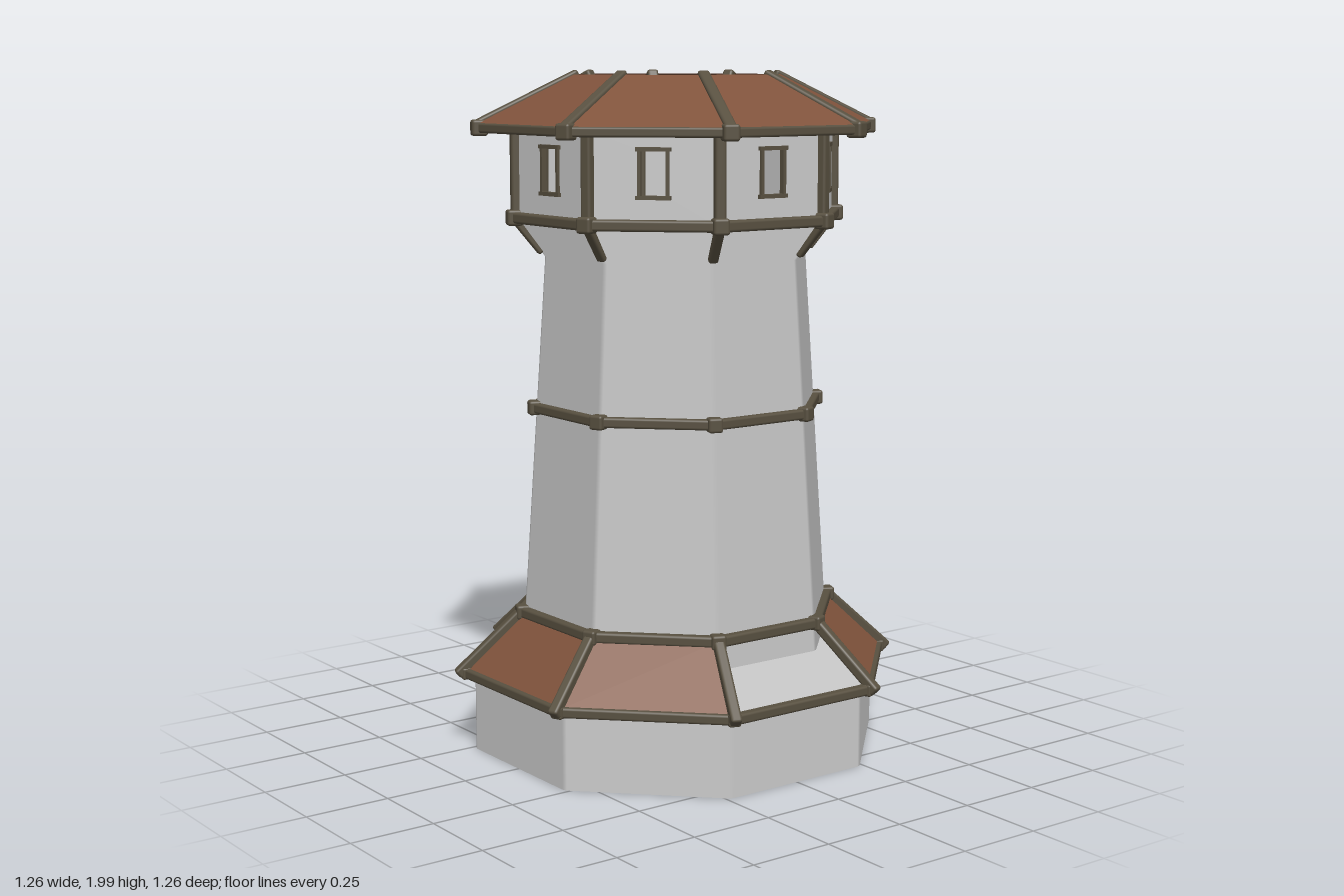
import * as THREE from 'three';
import { RoundedBoxGeometry } from 'three/addons/geometries/RoundedBoxGeometry.js';

const STEP = Math.PI / 4;
const HALF = Math.PI / 8;

export function createModel() {
  const plaster = new THREE.MeshStandardMaterial({ color: 0xcccccc, side: THREE.DoubleSide });
  plaster.name = 'plaster';
  const tile = new THREE.MeshStandardMaterial({ color: 0x80533c, flatShading: true, side: THREE.DoubleSide });
  tile.name = 'roof tile';
  const wood = new THREE.MeshStandardMaterial({ color: 0x585040 });
  wood.name = 'dark wood';

  const tower = new THREE.Group();
  tower.name = 'octagonalTower';

  const add = (name, geometry, material, parent = tower) => {
    const mesh = new THREE.Mesh(geometry, material);
    mesh.name = name;
    parent.add(mesh);
    return mesh;
  };

  // Corner k of an octagon with the given apothem (flat sides face x and z)
  const corner = (apothem, y, k) => {
    const r = apothem / Math.cos(HALF);
    const t = HALF + k * STEP;
    return new THREE.Vector3(r * Math.sin(t), y, r * Math.cos(t));
  };

  // Octagonal plaster shell through [apothem, y] rows, with softly eased corners
  const shell = (name, rows) => {
    const positions = [], normals = [], index = [];
    rows.forEach(([a, y], row) => {
      for (let k = 0; k < 8; k++) {
        const s = Math.sin(k * STEP), c = Math.cos(k * STEP);
        for (const side of [-1, 1]) {
          const w = side * (a * Math.tan(HALF) - 0.008);
          positions.push(a * s + w * c, y, a * c - w * s);
          normals.push(s, 0, c);
        }
      }
      if (row === 0) return;
      for (let j = 0; j < 16; j++) {
        const next = (j + 1) % 16, low = (row - 1) * 16, high = row * 16;
        index.push(low + j, low + next, high + next, low + j, high + next, high + j);
      }
    });
    const g = new THREE.BufferGeometry();
    g.setAttribute('position', new THREE.Float32BufferAttribute(positions, 3));
    g.setAttribute('normal', new THREE.Float32BufferAttribute(normals, 3));
    g.setIndex(index);
    return add(name, g, plaster);
  };

  // Tiled roof band between two apothems; "sides" below 8 leaves the front open
  const roof = (name, a0, y0, a1, y1, sides = 8) => {
    const c = Math.cos(HALF);
    const g = new THREE.CylinderGeometry(a1 / c, a0 / c, y1 - y0, sides, 1, true, HALF, sides * STEP);
    g.translate(0, (y0 + y1) / 2, 0);
    return add(name, g, tile);
  };

  // Timber with eased edges from p to q
  const beam = (name, p, q, width, parent, depth = width) => {
    const mesh = add(name, new RoundedBoxGeometry(width, depth, p.distanceTo(q), 2, width * 0.25), wood, parent);
    mesh.position.copy(p).lerp(q, 0.5);
    mesh.lookAt(q);
    return mesh;
  };

  // Horizontal ring of timbers with a block at every corner
  const ring = (name, apothem, y, width, block) => {
    const group = new THREE.Group();
    group.name = name;
    for (let k = 0; k < 8; k++) {
      beam('ringBeam', corner(apothem, y, k), corner(apothem, y, k + 1), width, group);
      const joint = add('cornerBlock', new RoundedBoxGeometry(block, block, block, 2, block * 0.18), wood, group);
      joint.position.copy(corner(apothem, y, k));
      joint.rotation.y = HALF + k * STEP;
    }
    tower.add(group);
  };

  // Timbers that run along all eight corners
  const ribs = (name, a0, y0, a1, y1, width, depth) => {
    const group = new THREE.Group();
    group.name = name;
    for (let k = 0; k < 8; k++) beam('rib', corner(a0, y0, k), corner(a1, y1, k), width, group, depth);
    tower.add(group);
  };

  // Base, open underneath, with a flat top
  shell('base', [[0.57, 0], [0.57, 0.23]]);
  const top = new THREE.CircleGeometry(0.57 / Math.cos(HALF), 8, HALF);
  top.rotateX(-Math.PI / 2);
  add('baseTop', top, plaster).position.y = 0.23;

  // Hollow shaft that flares out under the chamber
  shell('shaft', [[0.435, 0.325], [0.365, 1.46], [0.44, 1.57]]);

  // Chamber walls, each with a window opening and timber frame
  const chamber = new THREE.Group();
  chamber.name = 'chamber';
  const apothem = 0.44;
  const w = apothem * Math.tan(HALF);
  const outline = points => points.map(p => new THREE.Vector2(...p));
  const wallShape = new THREE.Shape(outline([[-w, 1.57], [w, 1.57], [w, 1.835], [-w, 1.835]]));
  wallShape.holes.push(new THREE.Path(outline([[-0.04, 1.652], [-0.04, 1.782], [0.04, 1.782], [0.04, 1.652]])));
  const wallGeometry = new THREE.ShapeGeometry(wallShape);
  for (let k = 0; k < 8; k++) {
    const side = new THREE.Group();
    side.name = 'chamberSide';
    side.rotation.y = k * STEP;
    add('wall', wallGeometry, plaster, side).position.z = apothem;
    for (const s of [-1, 1]) {
      add('windowJamb', new THREE.BoxGeometry(0.01, 0.13, 0.016), wood, side).position.set(s * 0.039, 1.717, apothem);
      add('windowRail', new THREE.BoxGeometry(0.098, 0.011, 0.02), wood, side).position.set(0, 1.717 + s * 0.066, apothem);
    }
    chamber.add(side);
  }
  tower.add(chamber);

  // Soffit between the chamber walls and the eave
  const soffit = new THREE.RingGeometry(0.44 / Math.cos(HALF), 0.54 / Math.cos(HALF), 8, 1, HALF);
  soffit.rotateX(-Math.PI / 2);
  add('soffit', soffit, plaster).position.y = 1.835;

  // Tiled roofs: the lower skirt is open at the front, the upper roof at the top
  roof('skirtRoof', 0.6, 0.24, 0.435, 0.41, 7);
  roof('upperRoof', 0.547, 1.846, 0.29, 1.982);

  // Timber rings
  ring('skirtEave', 0.59, 0.234, 0.03, 0.036);
  ring('skirtTopRing', 0.435, 0.41, 0.032, 0.042);
  ring('middleRing', 0.395, 1.02, 0.03, 0.042);
  ring('chamberFloorRing', 0.446, 1.575, 0.032, 0.046);
  ring('roofEave', 0.537, 1.832, 0.028, 0.046);

  // Corner timbers
  ribs('skirtRibs', 0.617, 0.23, 0.435, 0.412, 0.032);
  ribs('flareBraces', 0.37, 1.475, 0.445, 1.575, 0.028);
  ribs('chamberPosts', 0.44, 1.575, 0.4401, 1.84, 0.032);
  ribs('roofRibs', 0.545, 1.833, 0.268, 1.979, 0.034, 0.04);

  return tower;
}
